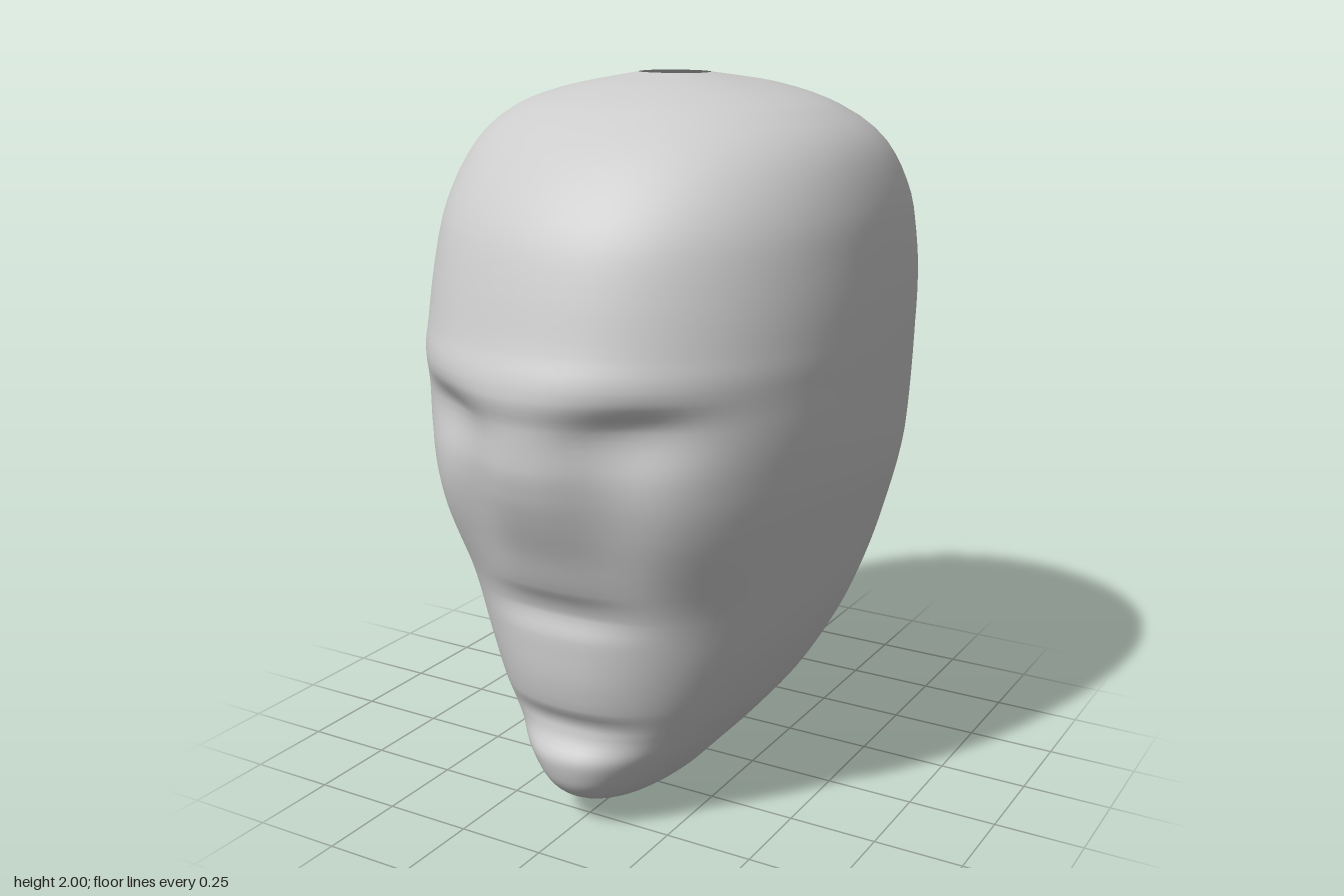
import * as THREE from 'three';

// Profiles as [height, value] pairs
const WIDTH = [[0, .095], [.085, .175], [.2, .28], [.33, .38], [.53, .48], [.76, .55], [1, .605], [1.21, .622],
  [1.42, .63], [1.63, .617], [1.72, .597], [1.8, .565], [1.86, .52], [1.915, .44], [1.96, .31], [2, .1]];
const BACK = [[0, -.23], [.12, -.355], [.32, -.525], [.53, -.65], [.785, -.75], [1, -.79], [1.24, -.805],
  [1.45, -.785], [1.63, -.73], [1.79, -.6], [1.915, -.4], [1.97, -.26], [2, -.06]];
// Smooth skull front, and the centre line of the face in front of it
const FRONT = [[0, .34], [.04, .475], [.1, .57], [.2, .608], [.3, .618], [.5, .634], [.65, .645], [.8, .675], [.9, .703],
  [1, .735], [1.1, .765], [1.2, .784], [1.29, .79], [1.37, .768], [1.5, .73], [1.63, .68], [1.78, .57],
  [1.915, .4], [1.97, .25], [2, .105]];
const FACE = [[0, .34], [.04, .48], [.1, .59], [.15, .622], [.21, .634], [.27, .602], [.31, .595], [.37, .625],
  [.48, .642], [.57, .644], [.635, .63], [.67, .64], [.72, .67], [.82, .71], [.93, .76], [1, .785], [1.08, .8],
  [1.18, .8], [1.245, .81], [1.29, .803], [1.37, .77], [1.5, .73], [1.63, .68], [1.78, .57], [1.915, .4],
  [1.97, .25], [2, .105]];
// Half width of the raised features: chin, lips, nose, bridge, brow
const SPREAD = [[0, .2], [.6, .2], [.7, .19], [.85, .17], [1, .15], [1.15, .14], [1.27, .35], [2, .45]];
// Squareness of the front half of the sections, 2 being an ellipse
const SQUARE = [[0, 2], [.15, 2.25], [.4, 2.3], [.7, 2.3], [1.1, 2.25], [1.3, 2.15], [1.9, 2.15], [2, 2.4]];
const BACK_SQUARE = 2.06;

// Smooth interpolation that never overshoots the table
function sample(table, y) {
  let i = 1;
  while (i < table.length - 1 && table[i][0] < y) i++;
  const secant = k => {
    const j = Math.min(Math.max(k, 1), table.length - 1);
    return (table[j][1] - table[j - 1][1]) / (table[j][0] - table[j - 1][0]);
  };
  const tangent = k => {
    const a = secant(k), b = secant(k + 1);
    return a * b > 0 ? 2 * a * b / (a + b) : 0;
  };
  const [y0, a] = table[i - 1], [y1, b] = table[i];
  const h = y1 - y0, t = (y - y0) / h, u = 1 - t;
  return a * u * u * (1 + 2 * t) + b * t * t * (3 - 2 * t) + h * t * u * (tangent(i - 1) * u - tangent(i) * t);
}

// Soft round bump on both sides of the face
function bump(x, y, cx, cy, rx, ry) {
  return Math.exp(-(((Math.abs(x) - cx) / rx) ** 2) - ((y - cy) / ry) ** 2);
}

function surfacePoint(y, angle) {
  const front = sample(FRONT, y), back = sample(BACK, y);
  const sin = Math.sin(angle), cos = Math.cos(angle);
  const n = cos > 0 ? sample(SQUARE, y) : BACK_SQUARE;
  const k = (Math.abs(sin) ** n + Math.abs(cos) ** n) ** (-1 / n);
  const x = sample(WIDTH, y) * sin * k;
  let z = (front + back) / 2 + (front - back) / 2 * cos * k;
  if (cos > 0) {
    const fade = Math.min(1, cos * 2);
    // Face relief, fading out to the sides
    const relief = (sample(FACE, y) - front) * Math.exp(-((Math.abs(x) / sample(SPREAD, y)) ** 3));
    // Eye sockets, steeper under the brow than towards the cheeks
    const socket = .045 * bump(x, y, .28, 1.175, .15, y > 1.175 ? .07 : .1);
    const cheek = .045 * bump(x, y, .36, .88, .14, .2);
    z += (relief - socket + cheek) * fade;
  }
  return [x, y, z];
}

function createHeadGeometry(segments = 96, steps = 4) {
  // Rows follow the face heights, each interval split evenly
  const rows = [0];
  for (let i = 1; i < FACE.length; i++) {
    const y0 = FACE[i - 1][0], y1 = FACE[i][0];
    for (let s = 1; s <= steps; s++) rows.push(y0 + (y1 - y0) * s / steps);
  }
  const positions = [], index = [];
  rows.forEach((y, r) => {
    for (let s = 0; s < segments; s++) {
      positions.push(...surfacePoint(y, s / segments * Math.PI * 2));
      if (r === 0) continue;
      const next = (s + 1) % segments;
      const a = (r - 1) * segments + s, b = (r - 1) * segments + next;
      const c = r * segments + next, d = r * segments + s;
      index.push(a, b, c, a, c, d);
    }
  });
  const geometry = new THREE.BufferGeometry();
  geometry.setAttribute('position', new THREE.Float32BufferAttribute(positions, 3));
  geometry.setIndex(index);
  geometry.computeVertexNormals();
  return geometry;
}

export function createModel() {
  const group = new THREE.Group();
  group.name = 'head';
  // Hollow shell, open at the crown and under the jaw
  const material = new THREE.MeshStandardMaterial({ color: 0xcccccc, side: THREE.DoubleSide });
  const shell = new THREE.Mesh(createHeadGeometry(), material);
  shell.name = 'headShell';
  group.add(shell);
  return group;
}
